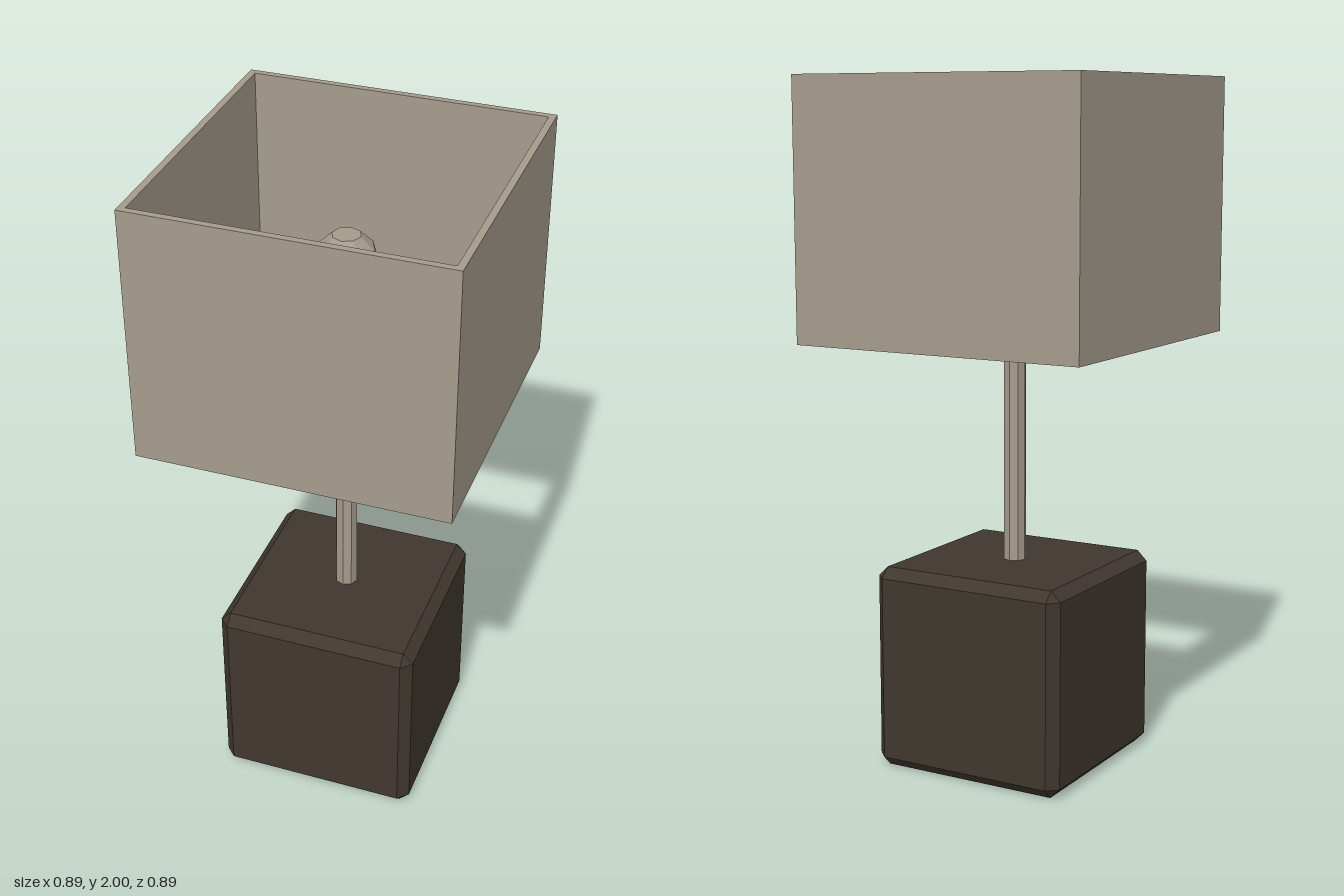
import * as THREE from 'three';
import { ConvexGeometry } from 'three/addons/geometries/ConvexGeometry.js';

function material(name, color) {
  const m = new THREE.MeshStandardMaterial({ color });
  m.name = name;
  return m;
}

// Flat-faced eight-sided solid turned from [radius, height] pairs
function turned(profile) {
  const points = profile.map(([r, y]) => new THREE.Vector2(r, y));
  const geometry = new THREE.LatheGeometry(points, 8).toNonIndexed();
  geometry.computeVertexNormals();
  return geometry;
}

// Cube with every edge and corner cut off
function chamferedCube(half, cut) {
  const points = [];
  const inner = half - cut;
  for (const sx of [-1, 1]) for (const sy of [-1, 1]) for (const sz of [-1, 1]) {
    points.push(new THREE.Vector3(sx * half, sy * inner, sz * inner));
    points.push(new THREE.Vector3(sx * inner, sy * half, sz * inner));
    points.push(new THREE.Vector3(sx * inner, sy * inner, sz * half));
  }
  return new ConvexGeometry(points);
}

function square(path, h) {
  path.moveTo(-h, -h);
  path.lineTo(h, -h);
  path.lineTo(h, h);
  path.lineTo(-h, h);
  path.closePath();
  return path;
}

export function createModel() {
  const group = new THREE.Group();
  group.name = 'tableLamp';
  const dark = material('dark wood', 0x40372f);
  const beige = material('warm beige', 0xa69c8d);

  const add = (name, geometry, mat, y = 0) => {
    const mesh = new THREE.Mesh(geometry, mat);
    mesh.name = name;
    mesh.position.y = y;
    group.add(mesh);
  };

  // Heavy cube base
  add('base', chamferedCube(0.3, 0.03), dark, 0.3);

  // Slim octagonal pole
  add('pole', turned([[0, 0.58], [0.033, 0.58], [0.033, 1.48], [0, 1.48]]), beige);

  // Flared collar holding the bulb
  add('socket', turned([[0, 1.46], [0.06, 1.46], [0.083, 1.48], [0.083, 1.495], [0.05, 1.52], [0, 1.52]]), beige);

  // Bulb with a narrow neck and flat top
  add('bulb', turned([[0.05, 1.51], [0.05, 1.56], [0.08, 1.63], [0.093, 1.69], [0.08, 1.745], [0.041, 1.784], [0, 1.784]]), beige);

  // Open square shade
  const outline = square(new THREE.Shape(), 0.447);
  outline.holes.push(square(new THREE.Path(), 0.427));
  const shade = new THREE.ExtrudeGeometry(outline, { depth: 0.745, bevelEnabled: false });
  shade.rotateX(-Math.PI / 2);
  add('shade', shade, beige, 1.255);

  return group;
}
